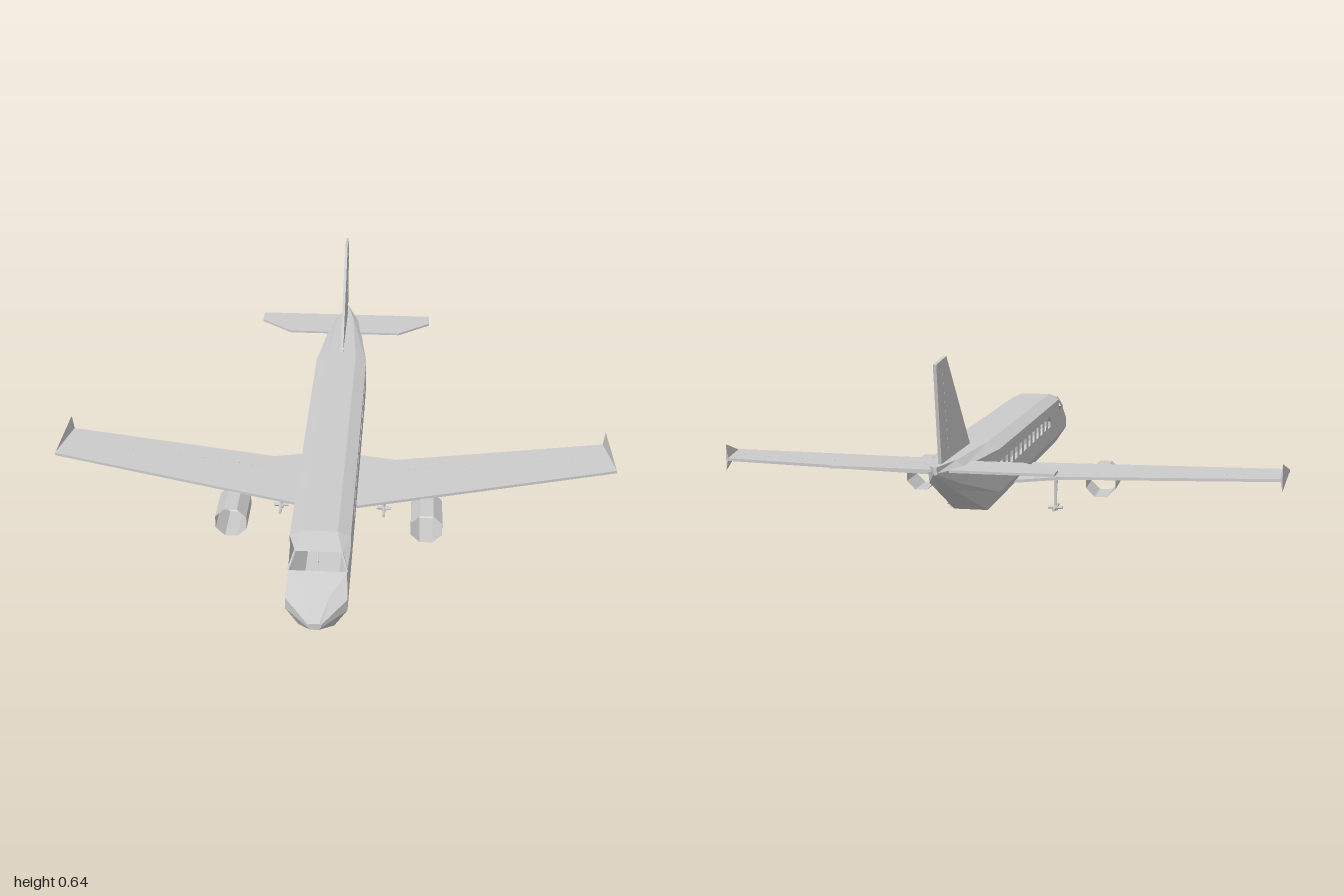
import * as THREE from 'three';

const skin = new THREE.MeshStandardMaterial({ color: 0xcccccc, flatShading: true, side: THREE.DoubleSide });

function part(parent, name, geometry) {
  const mesh = new THREE.Mesh(geometry, skin);
  mesh.name = name;
  parent.add(mesh);
  return mesh;
}

// Flat polygons, each fanned into triangles
function polygons(faces) {
  const pos = [];
  for (const f of faces)
    for (let i = 1; i < f.length - 1; i++) pos.push(...f[0], ...f[i], ...f[i + 1]);
  const g = new THREE.BufferGeometry();
  g.setAttribute('position', new THREE.Float32BufferAttribute(pos, 3));
  g.computeVertexNormals();
  return g;
}

// Eight-sided section: four points down the left side, mirrored up the right
function ring(z, half) {
  const left = half.map(([x, y]) => [x, y, z]);
  return [...left, ...left.map(([x, y]) => [-x, y, z]).reverse()];
}

// Faces joining section a to the section b in front of it
const bridge = (a, b, sides) => sides.map(i => {
  const j = (i + 1) % 8;
  return [a[i], b[i], b[j], a[j]];
});

const mirror = faces => faces.map(f => f.map(([x, y, z]) => [-x, y, z]).reverse());

// Round bar between two points
function rod(parent, name, a, b, r, sides = 6) {
  const p = new THREE.Vector3(...a), q = new THREE.Vector3(...b);
  const dir = q.clone().sub(p);
  const mesh = part(parent, name, new THREE.CylinderGeometry(r, r, dir.length(), sides));
  mesh.position.copy(p).add(q).multiplyScalar(0.5);
  mesh.quaternion.setFromUnitVectors(new THREE.Vector3(0, 1, 0), dir.normalize());
  return mesh;
}

// Horizontal slab from a plan outline of [x, z], top at y = 0
function slab(plan, thickness) {
  const shape = new THREE.Shape(plan.map(p => new THREE.Vector2(...p)));
  return new THREE.ExtrudeGeometry(shape, { depth: thickness, bevelEnabled: false }).rotateX(Math.PI / 2);
}

function fuselage() {
  const g = new THREE.Group();
  g.name = 'fuselage';
  const all = [0, 1, 2, 3, 4, 5, 6, 7];
  const body = [[0.055, 0.335], [0.095, 0.315], [0.095, 0.175], [0.055, 0.115]];
  const tip = ring(-0.945, [[0.003, 0.335], [0.005, 0.318], [0.005, 0.315], [0.003, 0.312]]);
  const tail = ring(-0.82, [[0.03, 0.335], [0.055, 0.315], [0.05, 0.265], [0.025, 0.245]]);
  const rear = ring(-0.49, body), front = ring(0.68, body);
  const nose = ring(0.865, [[0.045, 0.235], [0.095, 0.215], [0.095, 0.175], [0.055, 0.115]]);
  const point = ring(0.945, [[0.015, 0.182], [0.02, 0.178], [0.02, 0.168], [0.012, 0.16]]);

  part(g, 'tailCone', polygons([...bridge(tip, tail, all), ...bridge(tail, rear, all), tip]));
  part(g, 'cabinShell', polygons(bridge(rear, front, [0, 2, 3, 4, 6, 7])));
  part(g, 'noseCone', polygons([...bridge(nose, point, all), [...point].reverse()]));
  part(g, 'cockpitBelly', polygons(bridge(front, nose, [2, 3, 4])));

  // Cabin walls pierced by the passenger windows
  const windows = [[0.45, 0.06]];
  for (let i = 0; i < 11; i++) windows.push([0.36 - i * 0.0825, 0.043]);
  for (const s of [1, -1]) {
    const rect = (P, z0, z1, y0, y1) => new P(
      [[z0, y0], [z1, y0], [z1, y1], [z0, y1]].map(([z, y]) => new THREE.Vector2(-s * z, y)));
    const wall = rect(THREE.Shape, -0.49, 0.68, 0.175, 0.315);
    for (const [z, w] of windows)
      wall.holes.push(rect(THREE.Path, z - w / 2, z + w / 2, 0.235, 0.275));
    part(g, s > 0 ? 'leftWall' : 'rightWall',
      new THREE.ShapeGeometry(wall).rotateY(s * Math.PI / 2).translate(s * 0.095, 0, 0));
  }

  // Cockpit with open windscreen and side windows
  const sill = [0.095, 0.27, 0.68], brow = [0.072, 0.315, 0.762], corner = [0.09, 0.27, 0.8];
  const mx = ([x, y, z]) => [-x, y, z];
  const half = [
    [front[0], brow, front[1]],
    [sill, front[2], nose[2], nose[1], corner],
    [corner, nose[1], nose[0]],
  ];
  part(g, 'cockpitShell', polygons([
    ...half, ...mirror(half),
    [front[0], front[7], mx(brow), brow],
    [corner, nose[0], nose[7], mx(corner)],
  ]));
  rod(g, 'windscreenPost', [0, 0.315, 0.762], [0, 0.27, 0.8], 0.003);
  for (const s of [1, -1])
    rod(g, 'cornerPost', [s * 0.072, 0.315, 0.762], [s * 0.09, 0.27, 0.8], 0.004);
  return g;
}

function wing(s) {
  const g = new THREE.Group();
  g.name = s > 0 ? 'leftWing' : 'rightWing';
  const plan = [[0, 0.262], [1, 0.036], [0.975, -0.145], [0.22, -0.055], [0.095, -0.092], [0, -0.115]];
  const panel = slab(plan.map(([x, z]) => [s * x, z]), 0.01);
  // Dihedral
  const p = panel.attributes.position;
  for (let i = 0; i < p.count; i++) p.setY(i, p.getY(i) + 0.134 + 0.052 * Math.abs(p.getX(i)));
  panel.computeVertexNormals();
  part(g, 'wingPanel', panel);

  // Triangular wingtip fence
  const f = [1, 0.183, 0.036], u = [0.975, 0.235, -0.145], d = [0.975, 0.14, -0.145], m = [0.968, 0.18, -0.145];
  const fence = [[f, d, u], [f, u, m], [f, m, d], [u, d, m]];
  part(g, 'wingtipFence', polygons(s > 0 ? fence : mirror(fence)));

  // Small fasteners along the flap line
  for (const x of [0.27, 0.29, 0.34, 0.41, 0.47, 0.56, 0.61, 0.73, 0.79, 0.85, 0.94])
    part(g, 'fastener', new THREE.BoxGeometry(0.005, 0.003, 0.005))
      .position.set(s * x, 0.134 + 0.052 * x, 0.045 - 0.112 * x);

  // Open eight-sided engine duct
  const duct = new THREE.CylinderGeometry(0.058, 0.058, 0.147, 8, 1, true)
    .rotateY(Math.PI / 8).rotateX(Math.PI / 2);
  part(g, 'engineDuct', duct).position.set(s * 0.335, 0.09, 0.224);
  return g;
}

function mainGear(s) {
  const g = new THREE.Group(), x = s * 0.185;
  g.name = s > 0 ? 'leftMainGear' : 'rightMainGear';
  rod(g, 'strut', [x, 0.138, 0.058], [x, 0.01, 0.058], 0.006);
  rod(g, 'brace', [x, 0.138, 0.105], [x, 0.025, 0.06], 0.003);
  rod(g, 'bogieBeam', [x, 0.012, 0.008], [x, 0.012, 0.112], 0.006);
  rod(g, 'axle', [x - 0.026, 0.012, 0.058], [x + 0.026, 0.012, 0.058], 0.006);
  rod(g, 'hub', [x - 0.007, 0.01, 0.058], [x + 0.007, 0.01, 0.058], 0.01, 8);
  return g;
}

function noseGear() {
  const g = new THREE.Group();
  g.name = 'noseGear';
  rod(g, 'strut', [0, 0.118, 0.632], [0, 0.01, 0.632], 0.005);
  rod(g, 'brace', [0, 0.118, 0.668], [0, 0.025, 0.636], 0.003);
  rod(g, 'axle', [-0.026, 0.012, 0.632], [0.026, 0.012, 0.632], 0.006);
  rod(g, 'hub', [-0.007, 0.01, 0.632], [0.007, 0.01, 0.632], 0.01, 8);
  return g;
}

function tailUnit() {
  const g = new THREE.Group();
  g.name = 'tailUnit';
  // Fin outline as [-z, y]
  const fin = new THREE.Shape(
    [[0.52, 0.333], [0.89, 0.333], [0.945, 0.63], [0.825, 0.642]].map(p => new THREE.Vector2(...p)));
  part(g, 'fin', new THREE.ExtrudeGeometry(fin, { depth: 0.01, bevelEnabled: false })
    .rotateY(Math.PI / 2).translate(-0.005, 0, 0));
  for (let i = 0; i < 9; i++)
    part(g, 'finFastener', new THREE.BoxGeometry(0.013, 0.005, 0.005))
      .position.set(0, 0.37 + i * 0.028, -0.81 - i * 0.0075);

  const half = [[0.215, -0.73], [0.335, -0.825], [0.335, -0.89]];
  const plan = [...half, ...half.map(([x, z]) => [-x, z]).reverse()];
  part(g, 'tailplane', slab(plan, 0.008)).position.y = 0.318;
  return g;
}

export function createModel() {
  const model = new THREE.Group();
  model.name = 'airliner';
  model.add(fuselage(), tailUnit(), noseGear());
  for (const s of [1, -1]) model.add(wing(s), mainGear(s));
  return model;
}
